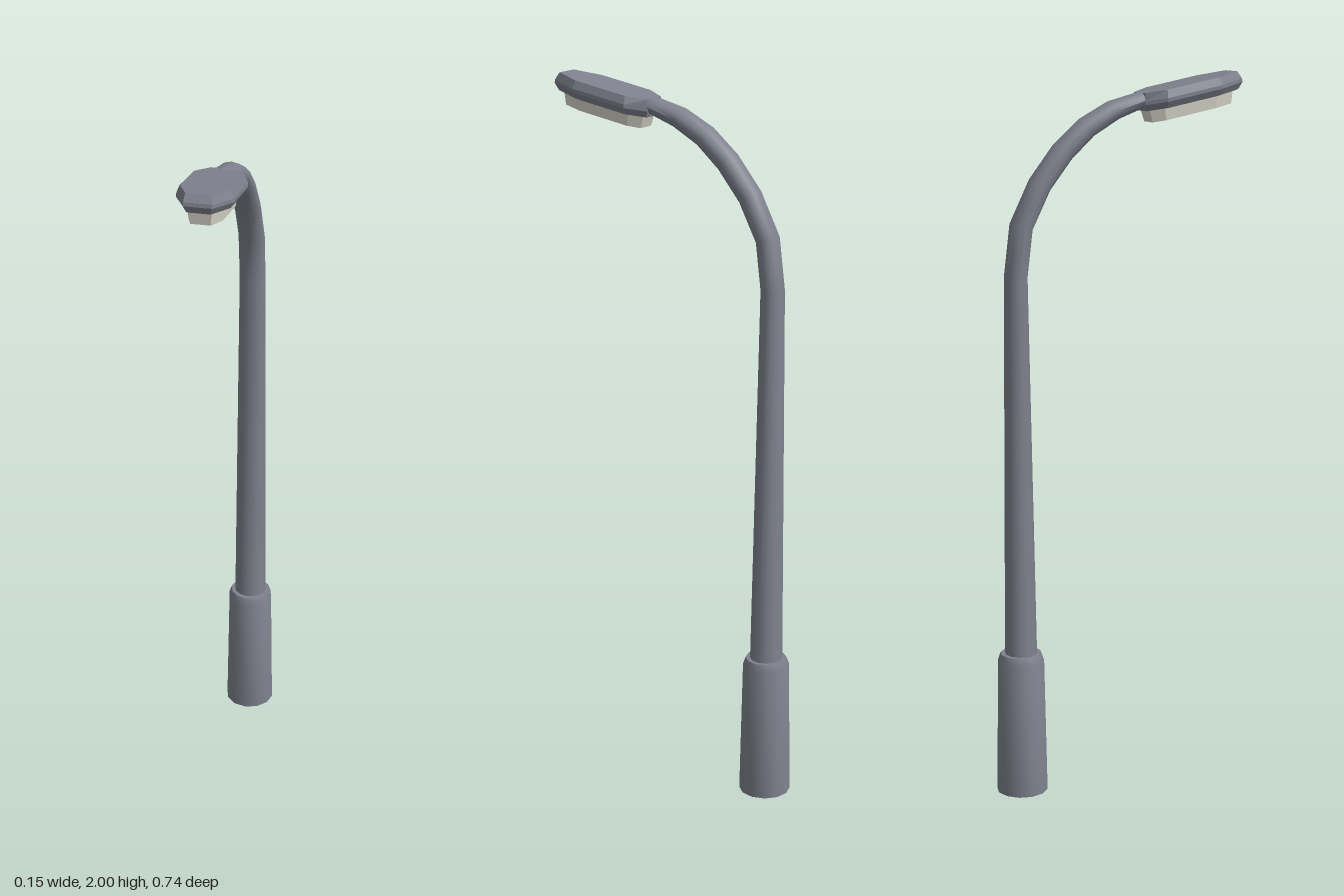
import * as THREE from 'three';
import { toCreasedNormals } from 'three/addons/utils/BufferGeometryUtils.js';

const POLE_Z = -0.296;
const metal = new THREE.MeshStandardMaterial({ color: 0x7f828e, side: THREE.DoubleSide });
const glass = new THREE.MeshStandardMaterial({ color: 0xd6d4c8 });

// Skin over equal-sized rings (each counter-clockwise about the direction of travel)
function loft(rings, capped, crease) {
  const n = rings[0].length, pos = [], idx = [];
  rings.forEach(r => r.forEach(p => pos.push(p.x, p.y, p.z)));
  for (let k = 0; k < rings.length - 1; k++) {
    for (let i = 0; i < n; i++) {
      const a = k * n + i, b = k * n + (i + 1) % n;
      idx.push(a, b, b + n, a, b + n, a + n);
    }
  }
  if (capped) {
    const last = (rings.length - 1) * n;
    for (let i = 1; i < n - 1; i++) {
      idx.push(0, i + 1, i, last, last + i, last + i + 1);
    }
  }
  const g = new THREE.BufferGeometry();
  g.setAttribute('position', new THREE.Float32BufferAttribute(pos, 3));
  g.setIndex(idx);
  return toCreasedNormals(g, crease);
}

// Mirrored outline on the tilted plane of the lamp head; half = [halfWidth, z] from back to front
function tiltedRing(half, drop) {
  const right = half.map(([w, z]) => [-w, z]);
  const left = half.map(([w, z]) => [w, z]).reverse();
  return [...right, ...left].map(([x, z]) =>
    new THREE.Vector3(x, 2 + 0.187 * (z - 0.352) - drop, z));
}

function named(name, geometry, material) {
  const m = new THREE.Mesh(geometry, material);
  m.name = name;
  return m;
}

export function createModel() {
  const group = new THREE.Group();
  group.name = 'streetLamp';

  // Base sleeve, open underneath, with a bevelled shoulder
  const profile = [[0.072, 0], [0.065, 0.385], [0.058, 0.405], [0.044, 0.405]]
    .map(([r, y]) => new THREE.Vector2(r, y));
  const base = named('baseSleeve',
    toCreasedNormals(new THREE.LatheGeometry(profile, 12), 0.6), metal);
  base.position.z = POLE_Z;
  group.add(base);

  // Tapered pole bending forward: [z, y, half width, half depth]
  const path = [
    [POLE_Z, 0.39, 0.047, 0.045], [-0.3, 1.465, 0.037, 0.031],
    [-0.283, 1.6, 0.037, 0.031], [-0.228, 1.71, 0.037, 0.031],
    [-0.16, 1.796, 0.037, 0.031], [-0.09, 1.858, 0.037, 0.03],
    [-0.01, 1.902, 0.037, 0.028], [0.07, 1.927, 0.036, 0.023],
    [0.11, 1.935, 0.034, 0.02],
  ];
  const xAxis = new THREE.Vector3(1, 0, 0);
  const rings = path.map(([z, y, w, d], k) => {
    const a = path[Math.max(k - 1, 0)], b = path[Math.min(k + 1, path.length - 1)];
    const dir = k < 2 ? new THREE.Vector3(0, 1, 0)
      : new THREE.Vector3(0, b[1] - a[1], b[0] - a[0]).normalize();
    const normal = dir.cross(xAxis);
    return Array.from({ length: 12 }, (_, i) => {
      const t = i / 12 * Math.PI * 2;
      return new THREE.Vector3(0, y, z)
        .addScaledVector(xAxis, w * Math.cos(t))
        .addScaledVector(normal, d * Math.sin(t));
    });
  });
  group.add(named('pole', loft(rings, true, 0.7), metal));

  // Lamp head: bottom, wide rim and inset top
  group.add(named('lampHead', loft([
    tiltedRing([[0.03, 0.075], [0.062, 0.125], [0.062, 0.28], [0.03, 0.358]], 0.05),
    tiltedRing([[0.037, 0.07], [0.073, 0.12], [0.073, 0.285], [0.036, 0.368]], 0.032),
    tiltedRing([[0.037, 0.07], [0.073, 0.12], [0.073, 0.285], [0.036, 0.366]], 0.022),
    tiltedRing([[0.034, 0.07], [0.065, 0.122], [0.065, 0.28], [0.034, 0.352]], 0),
  ], true, 0.2), metal));

  // Light panel hanging below the head
  group.add(named('lightPanel', loft([
    tiltedRing([[0.026, 0.097], [0.043, 0.13], [0.043, 0.282], [0.026, 0.338]], 0.085),
    tiltedRing([[0.029, 0.085], [0.047, 0.122], [0.047, 0.285], [0.029, 0.342]], 0.045),
  ], true, 0.2), glass));

  return group;
}
